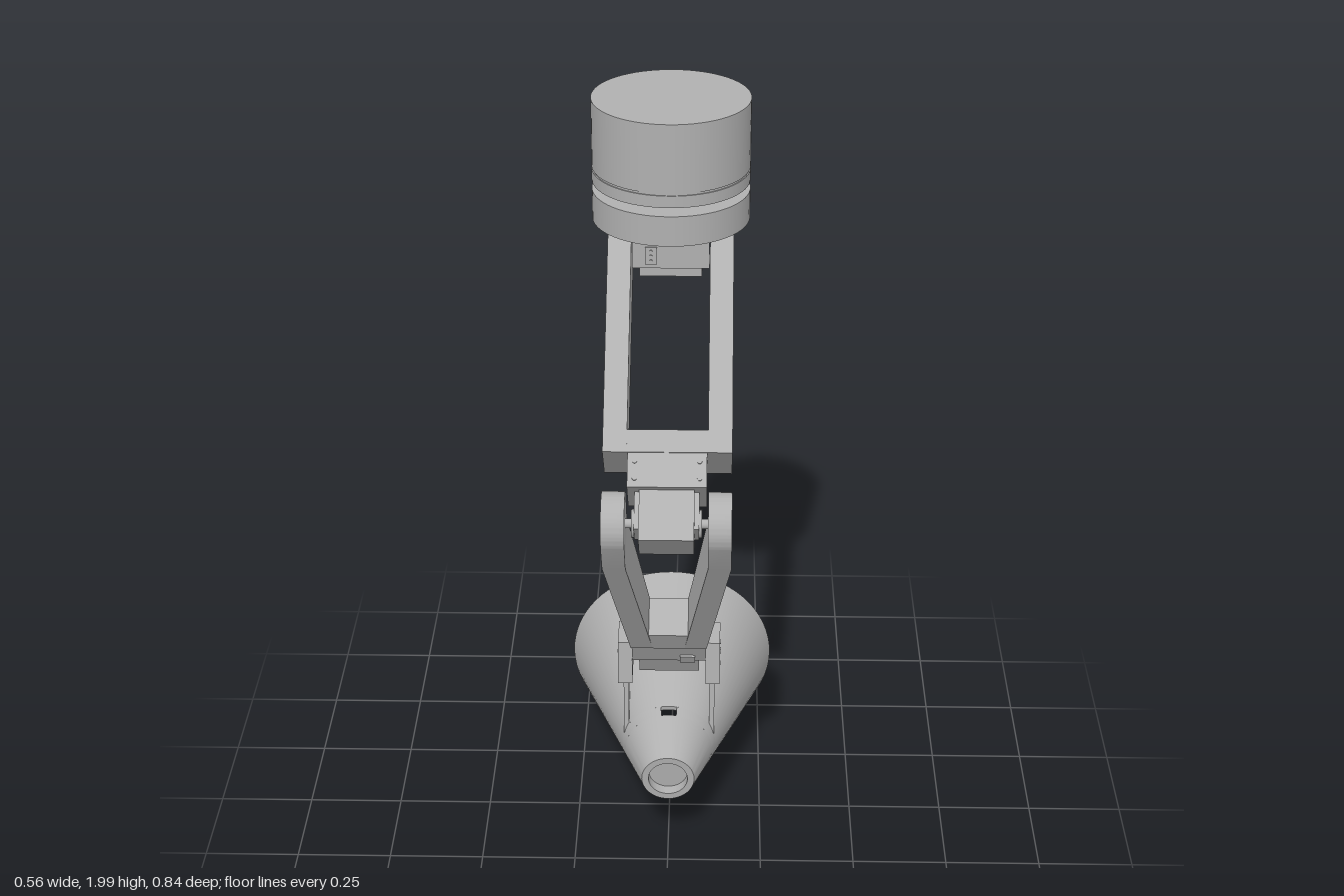
import * as THREE from 'three';
import { toCreasedNormals } from 'three/addons/utils/BufferGeometryUtils.js';

const grey = new THREE.MeshStandardMaterial({ color: 0xb0b0b0 });
grey.name = 'grey';

function add(parent, name, geometry) {
  const mesh = new THREE.Mesh(geometry, grey);
  mesh.name = name;
  parent.add(mesh);
  return mesh;
}

// Box given by its limits on each axis
function box(parent, name, [x0, x1], [y0, y1], [z0, z1]) {
  const g = new THREE.BoxGeometry(x1 - x0, y1 - y0, z1 - z0);
  g.translate((x0 + x1) / 2, (y0 + y1) / 2, (z0 + z1) / 2);
  return add(parent, name, g);
}

// Cylinder along y, x or z
function rod(parent, name, r, length, [x, y, z], axis = 'y', sides = 24) {
  const g = new THREE.CylinderGeometry(r, r, length, sides);
  if (axis === 'x') g.rotateZ(Math.PI / 2);
  if (axis === 'z') g.rotateX(Math.PI / 2);
  return add(parent, name, g.translate(x, y, z));
}

// Side profile drawn in (z, y), extruded from x0 to x1
function sidePlate(parent, name, shape, x0, x1) {
  let g = new THREE.ExtrudeGeometry(shape, { depth: x1 - x0, bevelEnabled: false, curveSegments: 24 });
  g.rotateY(-Math.PI / 2).translate(x1, 0, 0);
  return add(parent, name, toCreasedNormals(g, 0.5));
}

const polygon = (pts) => new THREE.Shape(pts.map(([z, y]) => new THREE.Vector2(z, y)));

// Bar with a round top at the origin, tapering downward to half-width w at -length
function knuckleShape(r, w, length) {
  const s = new THREE.Shape();
  s.moveTo(-w, -length);
  s.lineTo(w, -length);
  s.lineTo(r, 0);
  s.absarc(0, 0, r, 0, Math.PI, false);
  s.closePath();
  return s;
}

function lathe(parent, name, pts, start = 0, sweep = Math.PI * 2) {
  const g = new THREE.LatheGeometry(pts.map(([r, y]) => new THREE.Vector2(r, y)), 64, start, sweep);
  return add(parent, name, toCreasedNormals(g, 0.5));
}

function makeBase(model) {
  const base = new THREE.Group();
  base.name = 'base';
  base.position.z = -0.216;
  const tiers = [['turntable', 0.2, 1.683, 1.762], ['lowerCover', 0.2, 1.785, 1.816],
    ['seam', 0.197, 1.816, 1.822], ['housing', 0.2, 1.822, 2]];
  for (const [name, r, y0, y1] of tiers) rod(base, name, r, y1 - y0, [0, (y0 + y1) / 2, 0], 'y', 64);
  rod(base, 'turntableShaft', 0.012, 0.03, [0, 1.773, 0]);
  // Power port at the back
  const port = box(base, 'powerPort', [-0.014, 0.014], [1.935, 1.955], [-0.203, -0.19]);
  for (const s of [-1, 1]) rod(base, 'portEnd', 0.01, 0.013, [s * 0.014, 1.945, -0.1965], 'z');
  port.name = 'powerPort';
  model.add(base);
}

function makeShoulder(model) {
  const s = new THREE.Group();
  s.name = 'shoulderServo';
  s.position.set(0, 1.563, -0.214);
  box(s, 'servoBracket', [-0.098, 0.098], [0, 0.122], [-0.055, 0.057]);
  box(s, 'servoBody', [-0.08, 0.08], [-0.024, 0.05], [-0.052, 0.052]);
  rod(s, 'servoAxle', 0.014, 0.24, [0, 0, 0], 'x');
  box(s, 'connector', [-0.065, -0.035], [0.012, 0.058], [0.05, 0.061]);
  for (let i = 0; i < 3; i++) rod(s, 'connectorPin', 0.004, 0.004, [-0.05, 0.022 + i * 0.013, 0.062], 'z', 8);
  model.add(s);
}

function makeUpperArm(model) {
  const arm = new THREE.Group();
  arm.name = 'upperArm';
  arm.position.set(0, 1.563, -0.217);
  arm.rotation.x = -0.871;
  for (const s of [-1, 1]) {
    const x = [s * 0.1, s * 0.16].sort((a, b) => a - b);
    sidePlate(arm, 'upperArmRail', knuckleShape(0.08, 0.07, 0.562), x[0], x[1]);
  }
  box(arm, 'upperArmCrossbar', [-0.1, 0.1], [-0.562, -0.502], [-0.07, 0.07]);
  // Elbow servo
  box(arm, 'elbowBracket', [-0.098, 0.098], [-0.653, -0.56], [-0.066, 0.067]);
  box(arm, 'elbowServoCase', [-0.08, 0.08], [-0.75, -0.65], [-0.042, 0.035]);
  box(arm, 'elbowServoBody', [-0.068, 0.068], [-0.785, -0.65], [-0.05, 0.05]);
  rod(arm, 'elbowAxle', 0.012, 0.24, [0, -0.7225, 0], 'x');
  for (const s of [-1, 1]) {
    rod(arm, 'elbowHub', 0.035, 0.008, [s * 0.083, -0.7225, 0], 'x');
    for (const y of [-0.585, -0.63]) rod(arm, 'bracketScrew', 0.006, 0.004, [s * 0.08, y, 0.068], 'z', 12);
  }
  model.add(arm);
}

function makeLowerArm(model) {
  const arm = new THREE.Group();
  arm.name = 'lowerArm';
  arm.position.set(0, 1.1, 0.339);
  arm.rotation.x = Math.PI / 6;
  const bend = 0.1, end = 0.556, rTop = 0.078, rEnd = 0.056;
  const rBend = rTop + (rEnd - rTop) * bend / end;
  for (const s of [-1, 1]) {
    const x = [s * 0.102, s * 0.16].sort((a, b) => a - b);
    sidePlate(arm, 'elbowKnuckle', knuckleShape(rTop, rBend, bend), x[0], x[1]);
    // Rail leaning inward toward the wrist
    const g = new THREE.BoxGeometry(1, 1, 1);
    const p = g.attributes.position;
    for (let i = 0; i < p.count; i++) {
      const top = p.getY(i) > 0;
      const outer = p.getX(i) * s > 0;
      const px = top ? (outer ? 0.16 : 0.102) : (outer ? 0.1 : 0.042);
      p.setXYZ(i, s * px, top ? -bend : -end, Math.sign(p.getZ(i)) * (top ? rBend : rEnd));
    }
    g.computeVertexNormals();
    add(arm, 'lowerArmRail', g);
  }
  box(arm, 'lowerArmCrossbar', [-0.055, 0.055], [-end, -0.484], [-rEnd, rEnd]);
  // Wrist servo
  box(arm, 'wristBracket', [-0.098, 0.098], [-0.645, -end], [-0.045, 0.045]);
  box(arm, 'wristServoBody', [-0.08, 0.08], [-0.715, -0.64], [-0.04, 0.04]);
  rod(arm, 'wristAxle', 0.012, 0.22, [0, -0.676, 0], 'x');
  box(arm, 'wristConnector', [0.03, 0.07], [-0.645, -0.615], [0.04, 0.051]);
  box(arm, 'wristConnector', [0.03, 0.06], [-0.63, -0.585], [-0.051, -0.04]);
  for (let i = -2; i <= 2; i++) rod(arm, 'crossbarScrew', 0.003, 0.004, [i * 0.022, -0.53, -0.056], 'z', 8);
  model.add(arm);
}

function makeHeadBrackets(model) {
  const clamp = polygon([[0.066, 0.452], [-0.073, 0.472], [-0.04, 0.58], [0.056, 0.574]]);
  const strap = polygon([[0.056, 0.285], [-0.077, 0.39], [-0.056, 0.475], [0.045, 0.46]]);
  for (const s of [-1, 1]) {
    const g = new THREE.Group();
    g.name = s > 0 ? 'leftHeadBracket' : 'rightHeadBracket';
    const span = (a, b) => (s > 0 ? [a, b] : [-b, -a]);
    sidePlate(g, 'clamp', clamp, ...span(0.098, 0.136));
    sidePlate(g, 'strap', strap, ...span(0.108, 0.122));
    for (const [z, y] of [[-0.003, 0.542], [0.021, 0.526], [-0.024, 0.505], [0.011, 0.484]])
      rod(g, 'clampScrew', 0.006, 0.004, [s * 0.136, y, z], 'x', 12);
    model.add(g);
  }
}

function makeShade(model) {
  const shade = new THREE.Group();
  shade.name = 'lampShade';
  shade.position.set(0, 0.237, 0.201);
  shade.rotation.x = -1.485;
  const R = (t) => 0.07 + 0.374 * t;
  const wall = 0.012, slot0 = 0.125, slot1 = 0.15, rim = 0.559;
  const band = (a, b) => [[R(a), a], [R(b), b], [R(b) - wall, b], [R(a) - wall, a]];
  // Nose with a shallow recess and an inner bulkhead
  lathe(shade, 'shadeNose', [[0, 0.03], [0.052, 0.03], [0.052, 0], [0.07, 0], [R(slot0), slot0],
    [R(slot0) - wall, slot0], [R(0.115) - wall, 0.115], [0.088, 0.115], [0.088, 0.105], [0, 0.105]]);
  // Narrow band left open at the top as the cable slot
  const half = 0.17;
  lathe(shade, 'slotBand', band(slot0, slot1), half, Math.PI * 2 - 2 * half);
  const body = band(slot1, rim);
  lathe(shade, 'shadeCone', [...body, body[0]]);
  model.add(shade);
}

export function createModel() {
  const model = new THREE.Group();
  model.name = 'robotLamp';
  makeBase(model);
  makeShoulder(model);
  makeUpperArm(model);
  makeLowerArm(model);
  makeHeadBrackets(model);
  makeShade(model);
  return model;
}
